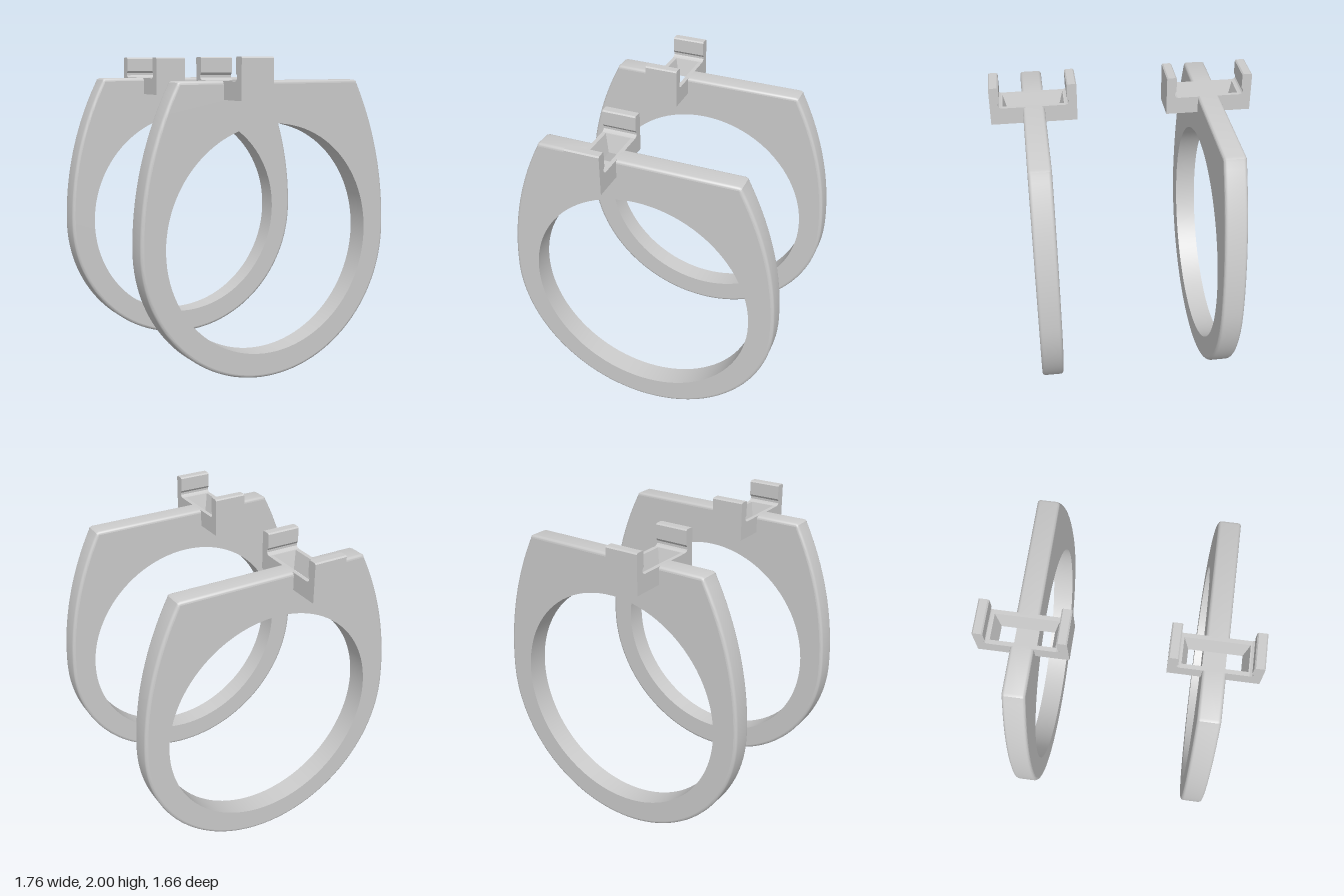
import * as THREE from 'three';
import { toCreasedNormals } from 'three/addons/utils/BufferGeometryUtils.js';

const material = new THREE.MeshStandardMaterial({ color: 0xcccccc });
const CY = 0.88;            // height of the finger hole centre
const HOLE = 0.722;         // finger hole radius
const HALF = 0.069;         // half the band thickness
const ROUND = 0.02;         // edge rounding of the band
const SETTING_X = -0.23;

function mesh(geometry, name) {
  const m = new THREE.Mesh(geometry, material);
  m.name = name;
  return m;
}

// Skin a stack of closed loops of equal length
function skin(loops) {
  const n = loops[0].length;
  const index = [];
  for (let j = 0; j < loops.length - 1; j++) {
    for (let i = 0; i < n; i++) {
      const k = (i + 1) % n;
      const a = j * n + i, b = j * n + k, c = b + n, d = a + n;
      index.push(a, b, c, a, c, d);
    }
  }
  const g = new THREE.BufferGeometry();
  g.setAttribute('position', new THREE.Float32BufferAttribute(loops.flat(2), 3));
  g.setIndex(index);
  return toCreasedNormals(g, 0.6);
}

// Outer outline as [x, y, normal x, normal y], counter-clockwise
function outline() {
  const R = 2.046, side = [];
  for (let i = 0; i <= 24; i++) {
    const a = (i / 24) * 0.486;
    side.push([CY - R + R * Math.cos(a), CY + R * Math.sin(a), Math.cos(a), Math.sin(a)]);
  }
  side.push([0.636, 1.852, 0.6, 0.8], [0.62, 1.86, 0, 1]);
  const mirrored = side.map(([x, y, nx, ny]) => [-x, y, -nx, ny]).reverse();
  // pocket in the flat top, its sides buried in the stone setting
  const pocket = [
    [-0.134, 1.86, 0, 1], [-0.134, 1.75, 0, 0],
    [-0.326, 1.75, 0, 0], [-0.326, 1.86, 0, 1],
  ];
  const bottom = [];
  for (let i = 1; i < 64; i++) {
    const a = Math.PI * (1 + i / 64), c = Math.cos(a), s = Math.sin(a);
    bottom.push([CY * c, CY + CY * s, c, s]);
  }
  return [...side, ...pocket, ...mirrored, ...bottom];
}

function createBand() {
  const band = new THREE.Group();
  band.name = 'band';
  const points = outline();
  const inset = (d) => points.map(([x, y, nx, ny]) => [x - nx * d, y - ny * d]);

  // rounded outer rim
  const loops = [];
  for (const s of [-1, 1]) {
    for (let k = 0; k <= 5; k++) {
      const a = ((s < 0 ? 5 - k : k) / 5) * Math.PI / 2;
      const z = s * (HALF - ROUND + ROUND * Math.sin(a));
      loops.push(inset(ROUND * (1 - Math.cos(a))).map(([x, y]) => [x, y, z]));
    }
  }
  band.add(mesh(skin(loops), 'outerRim'));

  // flat faces with the finger hole
  for (const s of [1, -1]) {
    const shape = new THREE.Shape(inset(ROUND).map(([x, y]) => new THREE.Vector2(x * s, y)));
    shape.holes.push(new THREE.Path().absarc(0, CY, HOLE, 0, Math.PI * 2, true));
    const g = new THREE.ShapeGeometry(shape, 48);
    g.translate(0, 0, HALF);
    if (s < 0) g.rotateY(Math.PI);
    band.add(mesh(g, s > 0 ? 'frontFace' : 'backFace'));
  }

  // inner wall, facing the finger
  const wall = new THREE.LatheGeometry(
    [new THREE.Vector2(HOLE, HALF), new THREE.Vector2(HOLE, -HALF)], 96);
  wall.rotateX(Math.PI / 2).translate(0, CY, 0);
  band.add(mesh(wall, 'innerWall'));
  return band;
}

function createSetting() {
  const setting = new THREE.Group();
  setting.name = 'stoneSetting';
  const w = 0.108, d = 0.272, low = 1.75, high = 1.86;

  // base frame with a tapered opening
  const rect = (x, y, z) => [[x, y, z], [x, y, -z], [-x, y, -z], [-x, y, z]];
  setting.add(mesh(skin([
    rect(w, low, d), rect(w, high, d), rect(0.082, high, 0.192),
    rect(0.052, low, 0.16), rect(w, low, d),
  ]), 'settingBase'));

  // end walls with a shallow groove above the seat
  const profile = new THREE.Shape([
    [0.2, high], [d, high], [d, 1.992], [d - 0.008, 2], [0.218, 2], [0.21, 1.992],
    [0.21, 1.905], [0.221, 1.89], [0.221, 1.875], [0.214, 1.866],
  ].map(([z, y]) => new THREE.Vector2(z, y)));
  const g = new THREE.ExtrudeGeometry(profile, { depth: 2 * w, bevelEnabled: false });
  g.rotateY(-Math.PI / 2).translate(w, 0, 0);
  for (const s of [1, -1]) {
    const wall = mesh(g, s > 0 ? 'frontEndWall' : 'backEndWall');
    if (s < 0) wall.rotation.y = Math.PI;
    setting.add(wall);
  }
  setting.position.x = SETTING_X;
  return setting;
}

export function createModel() {
  const model = new THREE.Group();
  model.name = 'ringPair';
  for (const s of [1, -1]) {
    const ring = new THREE.Group();
    ring.name = s > 0 ? 'frontRing' : 'backRing';
    ring.add(createBand(), createSetting());
    ring.position.z = s * 0.557;
    model.add(ring);
  }
  return model;
}
